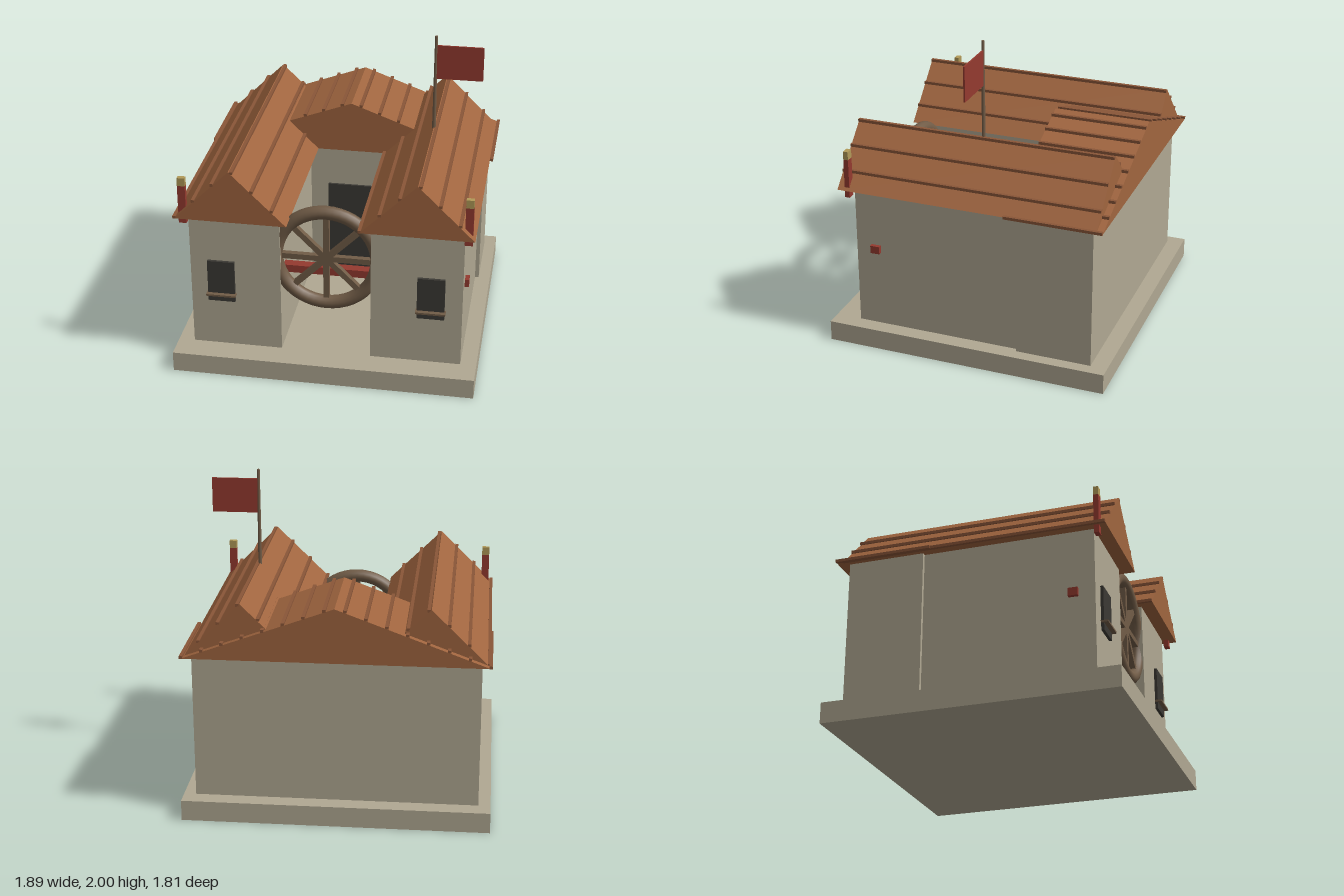
import * as THREE from 'three';

const mat = (color) => new THREE.MeshStandardMaterial({ color });

export function createModel() {
  const root = new THREE.Group();
  const stone = mat(0xb0a892), tile = mat(0xa0653f), batten = mat(0x8a5638), red = mat(0x943a2f);
  const dark = mat(0x3b3934), wood = mat(0x715c47), brass = mat(0xb29a58);

  const add = (name, geometry, material, parent = root) => {
    const mesh = new THREE.Mesh(geometry, material);
    mesh.name = name;
    parent.add(mesh);
    return mesh;
  };
  // Box given by its limits on each axis
  const box = (name, material, [x0, x1], [y0, y1], [z0, z1], parent = root) => {
    const mesh = add(name, new THREE.BoxGeometry(x1 - x0, y1 - y0, z1 - z0), material, parent);
    mesh.position.set((x0 + x1) / 2, (y0 + y1) / 2, (z0 + z1) / 2);
    return mesh;
  };

  // Solid gable roof with battens running along its length
  const EAVE = 1.05, RISE = 0.34;
  const roof = (name, cx, half, z0, z1, count, step) => {
    const group = new THREE.Group();
    group.name = name;
    group.position.x = cx;
    root.add(group);
    const gable = new THREE.Shape([
      new THREE.Vector2(-half, EAVE), new THREE.Vector2(half, EAVE), new THREE.Vector2(0, EAVE + RISE),
    ]);
    const body = new THREE.ExtrudeGeometry(gable, { depth: z1 - z0, bevelEnabled: false });
    body.translate(0, 0, z0);
    add('roofBody', body, tile, group);
    for (let i = 0; i < count; i++) {
      const d = -half + i * step;
      const y = EAVE + RISE * (1 - Math.abs(d) / half) + 0.007;
      box('roofBatten', batten, [d - 0.01, d + 0.01], [y - 0.009, y + 0.009], [z0, z1], group);
    }
  };

  // Base and rear hall
  box('base', stone, [-0.945, 0.945], [0, 0.13], [-0.905, 0.905]);
  box('rearHall', stone, [-0.87, 0.87], [0.13, EAVE], [-0.8, -0.32]);
  box('door', dark, [-0.163, 0.163], [0.13, 0.77], [-0.325, -0.305]);
  roof('rearRoof', 0, 0.92, -0.87, -0.26, 16, 0.1227);

  // Two wings with windows and corner posts
  for (const s of [-1, 1]) {
    const span = (a, b) => (s > 0 ? [a, b] : [-b, -a]);
    box('wingWalls', stone, span(0.28, 0.845), [0.13, EAVE], [-0.4, 0.74]);
    roof('wingRoof', s * 0.565, 0.345, -0.83, 0.825, 6, 0.12);
    box('window', dark, span(0.567, 0.737), [0.45, 0.73], [0.735, 0.758]);
    box('windowSill', wood, span(0.56, 0.745), [0.495, 0.507], [0.74, 0.785]);
    box('cornerPost', red, span(0.845, 0.893), [1.0, 1.25], [0.752, 0.783]);
    box('postCap', brass, span(0.845, 0.893), [1.25, 1.303], [0.752, 0.783]);
  }

  // Crossbeam through both wings
  box('crossbeam', red, [-0.87, 0.87], [0.63, 0.68], [0.58, 0.64]);

  // Large spoked wheel set between the wings
  const wheel = new THREE.Group();
  wheel.name = 'wheel';
  wheel.position.set(0, 0.785, 0.692);
  root.add(wheel);
  add('wheelRim', new THREE.TorusGeometry(0.313, 0.042, 14, 48), wood, wheel);
  for (let i = 0; i < 4; i++) {
    const spoke = add('wheelSpoke', new THREE.BoxGeometry(0.6, 0.036, 0.036), wood, wheel);
    spoke.rotation.z = (i * Math.PI) / 4;
  }

  // Flag on the ridge of the left wing
  const pole = add('flagPole', new THREE.CylinderGeometry(0.009, 0.012, 0.65, 10), wood);
  pole.position.set(0.565, 1.675, 0);
  box('flag', red, [0.57, 0.86], [1.72, 1.94], [-0.005, 0.005]);

  return root;
}
